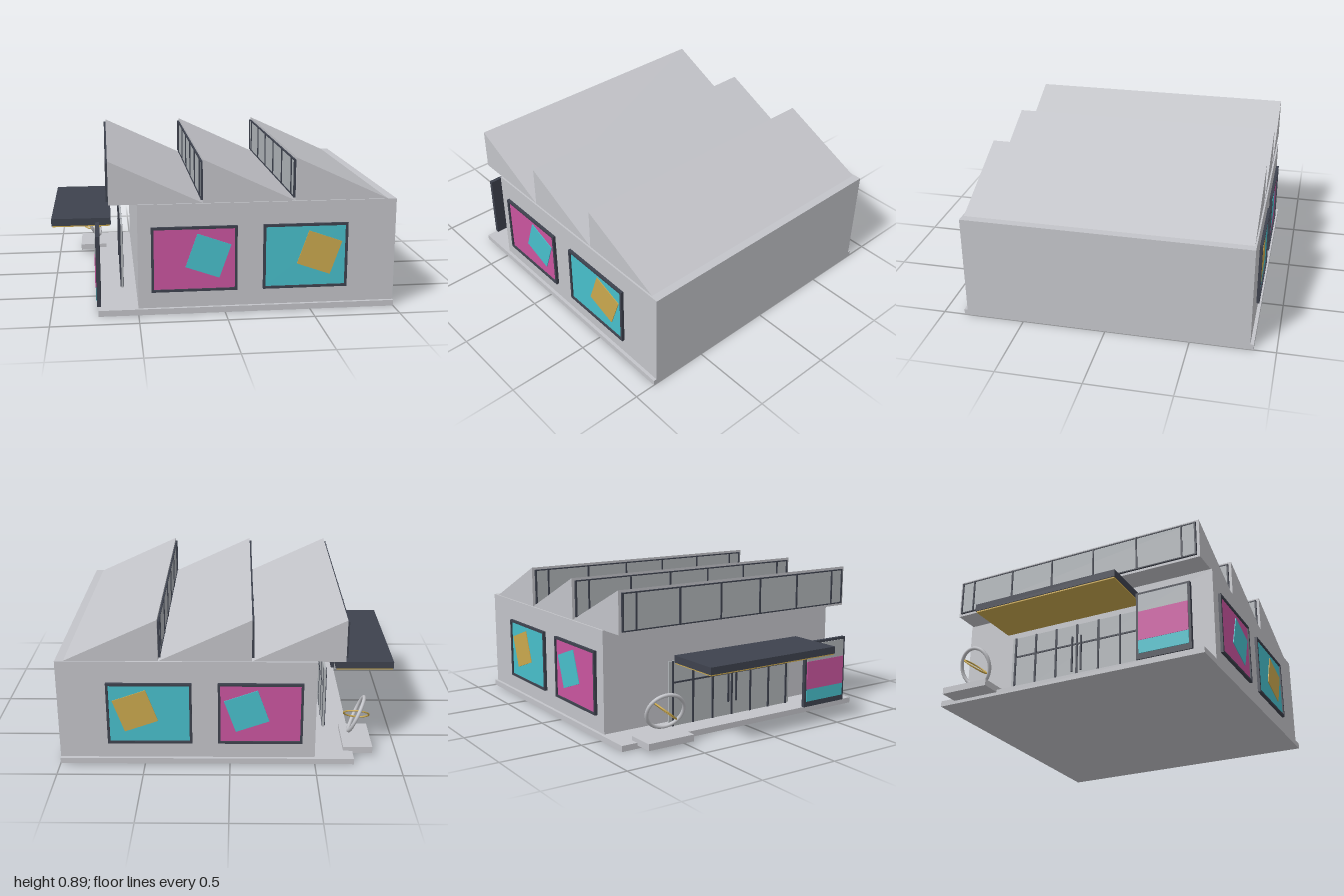
import * as THREE from 'three';

const mat = (name, color, extra = {}) => {
  const m = new THREE.MeshStandardMaterial({ color, ...extra });
  m.name = name;
  return m;
};

export function createModel() {
  const wall = mat('pale concrete', 0xc3c4c9);
  const dark = mat('charcoal metal', 0x3e424e);
  const glass = mat('grey glass', 0xb0b4b8);
  const pink = mat('pink', 0xca559f);
  const teal = mat('teal', 0x48bfcb);
  const gold = mat('gold', 0xcaa84e);

  const model = new THREE.Group();
  model.name = 'galleryBuilding';

  const add = (parent, name, geometry, material) => {
    const mesh = new THREE.Mesh(geometry, material);
    mesh.name = name;
    parent.add(mesh);
    return mesh;
  };
  // Box given by its limits on each axis
  const box = (parent, name, material, [x0, x1], [y0, y1], [z0, z1]) => {
    const m = add(parent, name, new THREE.BoxGeometry(x1 - x0, y1 - y0, z1 - z0), material);
    m.position.set((x0 + x1) / 2, (y0 + y1) / 2, (z0 + z1) / 2);
    return m;
  };
  const group = (name) => {
    const g = new THREE.Group();
    g.name = name;
    model.add(g);
    return g;
  };

  // Ground slab and main hall
  box(model, 'baseSlab', wall, [-0.73, 1], [0, 0.035], [-0.87, 0.87]);
  box(model, 'hall', wall, [-0.5, 1], [0.035, 0.645], [-0.85, 0.85]);

  // Sawtooth roof with glazed upright faces
  const teeth = [-0.66, -0.125, 0.41, 0.95];
  for (let i = 0; i < 3; i++) {
    const tooth = group('roofTooth');
    const x0 = teeth[i], x1 = teeth[i + 1];
    const shape = new THREE.Shape();
    shape.moveTo(x0, 0.645);
    shape.lineTo(x1, 0.645);
    shape.lineTo(x0, 0.895);
    const geo = new THREE.ExtrudeGeometry(shape, { depth: 1.68, bevelEnabled: false });
    geo.translate(0, 0, -0.84);
    add(tooth, 'roofWedge', geo, wall);
    box(tooth, 'skylightGlass', glass, [x0 - 0.007, x0], [0.665, 0.875], [-0.815, 0.815]);
    for (const y of [0.66, 0.873])
      box(tooth, 'skylightRail', dark, [x0 - 0.011, x0], [y, y + 0.007], [-0.82, 0.82]);
    for (const z of [-0.817, -0.73, -0.438, -0.146, 0.146, 0.438, 0.73, 0.817])
      box(tooth, 'skylightMullion', dark, [x0 - 0.013, x0], [0.66, 0.88], [z - 0.005, z + 0.005]);
  }

  // Framed abstract panels on the front and back walls
  const artPanel = (x, side, field, accent, accentX) => {
    const g = group('wallArt');
    const at = (a, b) => (side > 0 ? [a, b] : [-b, -a]);
    box(g, 'artField', field, [x - 0.236, x + 0.236], [0.143, 0.503], at(0.85, 0.859));
    for (const s of [-1, 1]) {
      const fx = x + s * 0.24, fy = 0.323 + s * 0.184;
      box(g, 'frameSide', dark, [fx - 0.007, fx + 0.007], [0.132, 0.514], at(0.85, 0.868));
      box(g, 'frameRail', dark, [x - 0.233, x + 0.233], [fy - 0.007, fy + 0.007], at(0.85, 0.868));
    }
    const sq = add(g, 'tiltedSquare', new THREE.BoxGeometry(0.207, 0.207, 0.005), accent);
    sq.position.set(accentX, 0.34, side * 0.861);
    sq.rotation.z = -0.34;
  };
  for (const side of [1, -1]) {
    artPanel(-0.177, side, pink, teal, -0.097);
    artPanel(0.468, side, teal, gold, 0.55);
  }

  // Glazed entrance screen
  const entry = group('entrance');
  box(entry, 'entranceGlass', glass, [-0.588, -0.576], [0.035, 0.43], [-0.46, 0.46]);
  for (let i = 0; i < 7; i++) {
    const z = -0.435 + i * 0.145;
    box(entry, 'entranceMullion', dark, [-0.594, -0.574], [0.035, 0.43], [z - 0.006, z + 0.006]);
  }
  box(entry, 'entranceTransom', dark, [-0.593, -0.575], [0.295, 0.305], [-0.435, 0.435]);
  for (const z of [-0.03, 0.03])
    box(entry, 'doorHandle', dark, [-0.6, -0.592], [0.12, 0.35], [z - 0.005, z + 0.005]);

  // Canopy with a gilded underside
  box(model, 'canopy', dark, [-1, -0.645], [0.437, 0.48], [-0.462, 0.462]);
  box(model, 'canopySoffit', gold, [-0.995, -0.65], [0.429, 0.437], [-0.457, 0.457]);

  // Freestanding poster board
  const board = group('posterBoard');
  box(board, 'boardBack', dark, [-0.738, -0.715], [0.035, 0.455], [0.465, 0.8]);
  box(board, 'posterTop', glass, [-0.742, -0.738], [0.33, 0.44], [0.48, 0.785]);
  box(board, 'posterMiddle', pink, [-0.744, -0.738], [0.15, 0.33], [0.48, 0.785]);
  box(board, 'posterBottom', teal, [-0.742, -0.738], [0.07, 0.15], [0.48, 0.785]);

  // Ring sculpture on a plinth
  const sculpture = group('sculpture');
  box(sculpture, 'plinth', wall, [-0.85, -0.675], [0.02, 0.06], [-0.77, -0.465]);
  const ring = (name, material, radius, tube, normal) => {
    const m = add(sculpture, name, new THREE.TorusGeometry(radius, tube, 10, 40), material);
    m.position.set(-0.765, 0.2, -0.605);
    m.quaternion.setFromUnitVectors(new THREE.Vector3(0, 0, 1), new THREE.Vector3(...normal).normalize());
  };
  ring('largeRing', wall, 0.113, 0.011, [0.9, 0.38, 0.17]);
  ring('smallRing', gold, 0.076, 0.005, [-0.1, 0.77, 0.63]);

  return model;
}
